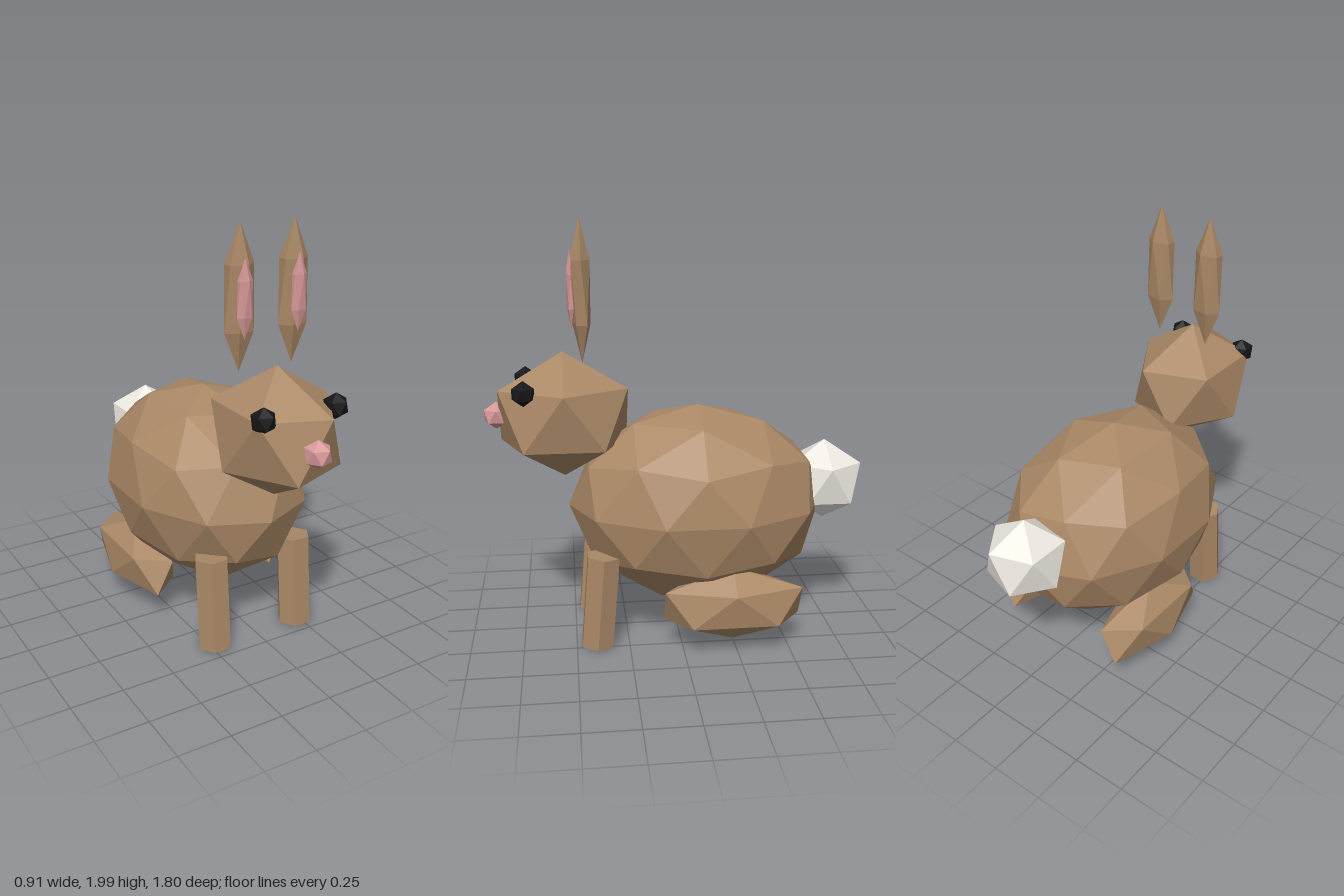
import * as THREE from 'three';

const material = (color) => new THREE.MeshStandardMaterial({ color, flatShading: true });
const fur = material(0xaa8866);
const pink = material(0xd9999a);
const black = material(0x161618);
const white = material(0xeeeae2);

// Icosahedron standing on a vertex: two poles and two staggered rings of five
function icoBall(detail = 0) {
  const points = [0, 1, 0];
  const faces = [];
  const y = 1 / Math.sqrt(5), r = 2 / Math.sqrt(5);
  for (const [height, start] of [[y, 0], [-y, Math.PI / 5]]) {
    for (let i = 0; i < 5; i++) {
      const a = start + (i * 2 * Math.PI) / 5;
      points.push(r * Math.cos(a), height, r * Math.sin(a));
    }
  }
  points.push(0, -1, 0);
  for (let i = 0; i < 5; i++) {
    const u = 1 + i, uNext = 1 + ((i + 1) % 5);
    const l = 6 + i, lNext = 6 + ((i + 1) % 5);
    faces.push(0, uNext, u, u, uNext, l, uNext, lNext, l, l, lNext, 11);
  }
  return new THREE.PolyhedronGeometry(points, faces, 1, detail);
}

function ball(name, mat, position, radii, detail = 0) {
  const mesh = new THREE.Mesh(icoBall(detail), mat);
  mesh.name = name;
  mesh.position.set(...position);
  mesh.scale.set(...radii);
  return mesh;
}

export function createModel() {
  const rabbit = new THREE.Group();
  rabbit.name = 'rabbit';

  // Body, head, nose and tail
  rabbit.add(
    ball('body', fur, [0, 0.643, -0.1], [0.457, 0.482, 0.62], 1),
    ball('head', fur, [0, 1.092, 0.535], [0.3, 0.3, 0.353]),
    ball('nose', pink, [0, 1.095, 0.848], [0.065, 0.065, 0.065]),
    ball('tail', white, [0, 0.733, -0.73], [0.2, 0.2, 0.2]),
  );

  // Paired parts
  const legGeometry = new THREE.CylinderGeometry(0.084, 0.084, 0.45, 6);
  legGeometry.rotateY(Math.PI / 6);
  for (const [side, s] of [['left', 1], ['right', -1]]) {
    rabbit.add(
      ball(side + 'Eye', black, [s * 0.182, 1.232, 0.714], [0.06, 0.06, 0.06]),
      ball(side + 'Ear', fur, [s * 0.135, 1.68, 0.443], [0.08, 0.32, 0.048]),
      ball(side + 'InnerEar', pink, [s * 0.135, 1.683, 0.488], [0.042, 0.172, 0.02]),
      ball(side + 'HindLeg', fur, [s * 0.322, 0.235, -0.233], [0.149, 0.179, 0.379]),
    );

    // Front leg, foot tilted slightly forward
    const leg = new THREE.Mesh(legGeometry, fur);
    leg.name = side + 'FrontLeg';
    leg.position.set(s * 0.225, 0.237, 0.385);
    leg.rotation.x = -0.08;
    rabbit.add(leg);
  }
  return rabbit;
}
